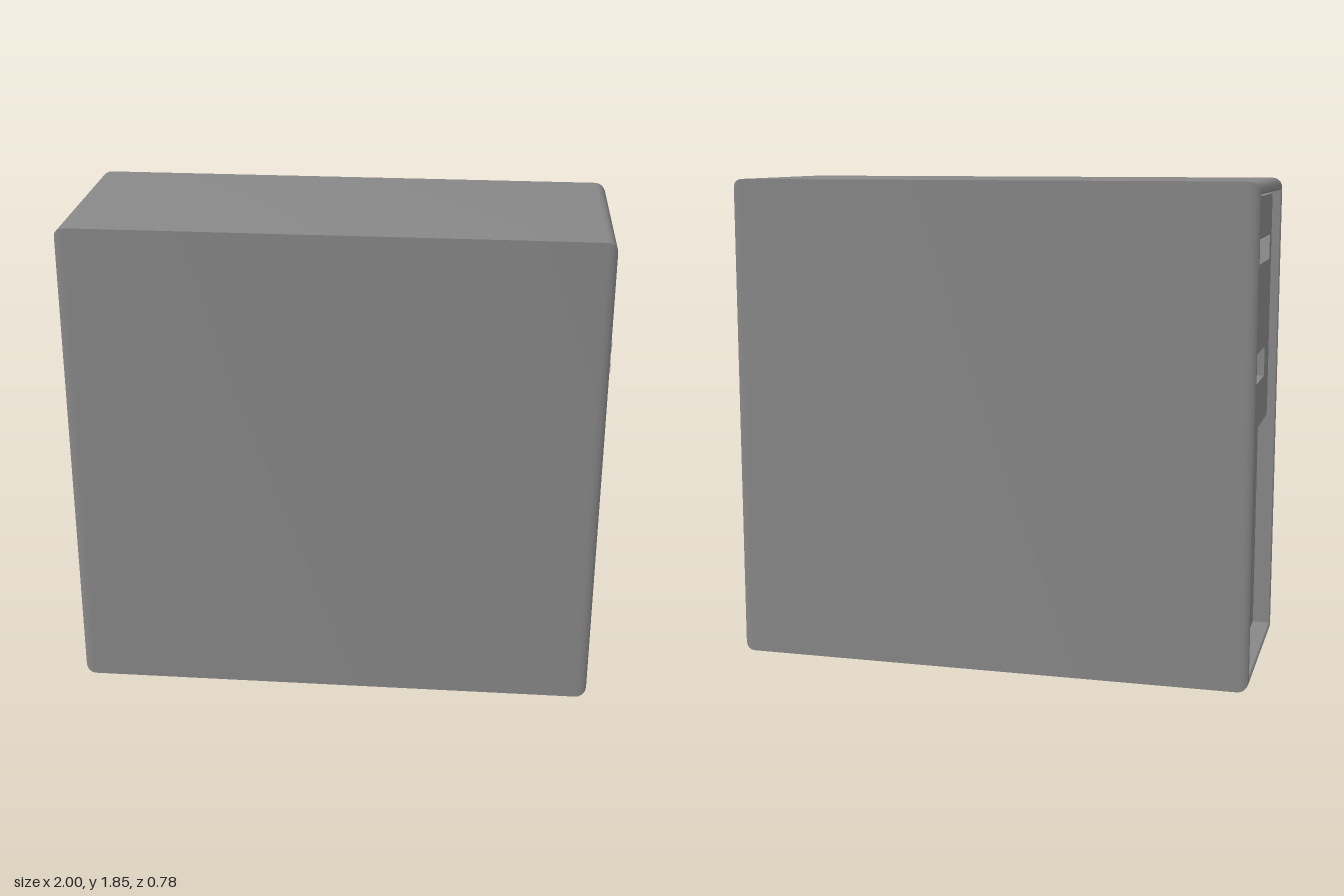
import * as THREE from 'three';
import { toCreasedNormals } from 'three/addons/utils/BufferGeometryUtils.js';

const dark = new THREE.MeshStandardMaterial({ color: 0x888888 });
const light = new THREE.MeshStandardMaterial({ color: 0xcccccc });

const HZ = 0.39, TOP = 1.85;

// Surface through rectangular rings [x, halfDepth, yBottom, yTop], closed at both ends
function loftRings(rings) {
  const pos = [];
  const corners = rings.map(([x, h, y0, y1]) => [[x, y0, h], [x, y0, -h], [x, y1, -h], [x, y1, h]]);
  const quad = (a, b, c, d) => pos.push(...a, ...b, ...c, ...a, ...c, ...d);
  for (let i = 0; i < corners.length - 1; i++) {
    const p = corners[i], q = corners[i + 1];
    for (let k = 0; k < 4; k++) {
      const n = (k + 1) % 4;
      quad(p[k], p[n], q[n], q[k]);
    }
  }
  const [a, b, c, d] = corners[0];
  quad(d, c, b, a);
  quad(...corners[corners.length - 1]);
  const geo = new THREE.BufferGeometry();
  geo.setAttribute('position', new THREE.Float32BufferAttribute(pos, 3));
  return toCreasedNormals(geo, 0.5);
}

// Rounded edge of the case at one end; dir is -1 or +1 along x
function roundedEnd(xEnd, dir) {
  const rings = [];
  for (let i = 0; i <= 5; i++) {
    const t = (i / 5) * Math.PI / 2;
    const inset = 1 - Math.cos(t);
    rings.push([xEnd - dir * 0.04 * (1 - Math.sin(t)), HZ - 0.018 * inset, 0.04 * inset, TOP - 0.04 * inset]);
  }
  return dir > 0 ? rings : rings.reverse();
}

function add(parent, name, geo, mat, x = 0, y = 0, z = 0) {
  const mesh = new THREE.Mesh(geo, mat);
  mesh.name = name;
  mesh.position.set(x, y, z);
  parent.add(mesh);
  return mesh;
}

function rectPath(path, w, h, cx = 0, cy = 0) {
  path.moveTo(cx - w / 2, cy - h / 2);
  path.lineTo(cx + w / 2, cy - h / 2);
  path.lineTo(cx + w / 2, cy + h / 2);
  path.lineTo(cx - w / 2, cy + h / 2);
  path.closePath();
  return path;
}

// Hollow connector standing on the rear panel
function addPort(parent, width, y, z) {
  const port = new THREE.Group();
  port.name = 'port';
  port.position.set(0.965, y, z);
  const shape = rectPath(new THREE.Shape(), width, 0.038);
  shape.holes.push(rectPath(new THREE.Path(), width - 0.034, 0.022));
  const shell = new THREE.ExtrudeGeometry(shape, { depth: 0.035, bevelEnabled: false });
  shell.rotateY(Math.PI / 2);
  add(port, 'portShell', shell, light);
  add(port, 'portContact', new THREE.BoxGeometry(0.02, 0.022, width - 0.034), light, 0.01);
  parent.add(port);
}

export function createModel() {
  const tower = new THREE.Group();
  tower.name = 'computerTower';

  // Case with a hollow fascia end, a sunken rear panel and a deeper power supply bay
  add(tower, 'case', loftRings([
    [-0.93, 0.368, 0.045, 1.805],
    [-0.995, 0.368, 0.045, 1.805],
    ...roundedEnd(-1, -1),
    ...roundedEnd(0.99, 1),
    [0.99, 0.34, 0.08, 1.78],
    [0.967, 0.34, 0.08, 1.78],
    [0.967, 0.283, 0.15, 0.86],
    [0.925, 0.283, 0.15, 0.86],
  ]), dark);
  add(tower, 'powerSupplyPanel', new THREE.BoxGeometry(0.01, 0.71, 0.566), light, 0.925, 0.505, 0);

  // Upper fascia with clipped lower corners and an open drive slot
  const w = 0.367, low = 0.91, high = 1.79, clip = 0.02;
  const face = new THREE.Shape();
  face.moveTo(-w + clip, low);
  face.lineTo(w - clip, low);
  face.lineTo(w, low + clip);
  face.lineTo(w, high);
  face.lineTo(-w, high);
  face.lineTo(-w, low + clip);
  face.closePath();
  face.holes.push(rectPath(new THREE.Path(), 0.44, 0.115, 0, 1.145));
  const fascia = new THREE.ExtrudeGeometry(face, { depth: 0.035, bevelEnabled: false });
  fascia.rotateY(-Math.PI / 2);
  add(tower, 'upperFascia', fascia, dark, -0.929, 0, 0);
  add(tower, 'opticalDrive', new THREE.BoxGeometry(0.01, 0.092, 0.57), light, -0.961, 1.585, 0);

  // Rear connectors: width, y, z
  const ports = [
    [0.138, 1.434, 0.23], [0.138, 1.355, 0.23], [0.138, 1.355, 0.055],
    [0.08, 1.552, -0.27], [0.08, 1.478, -0.27],
  ];
  for (const p of ports) addPort(tower, ...p);

  return tower;
}
